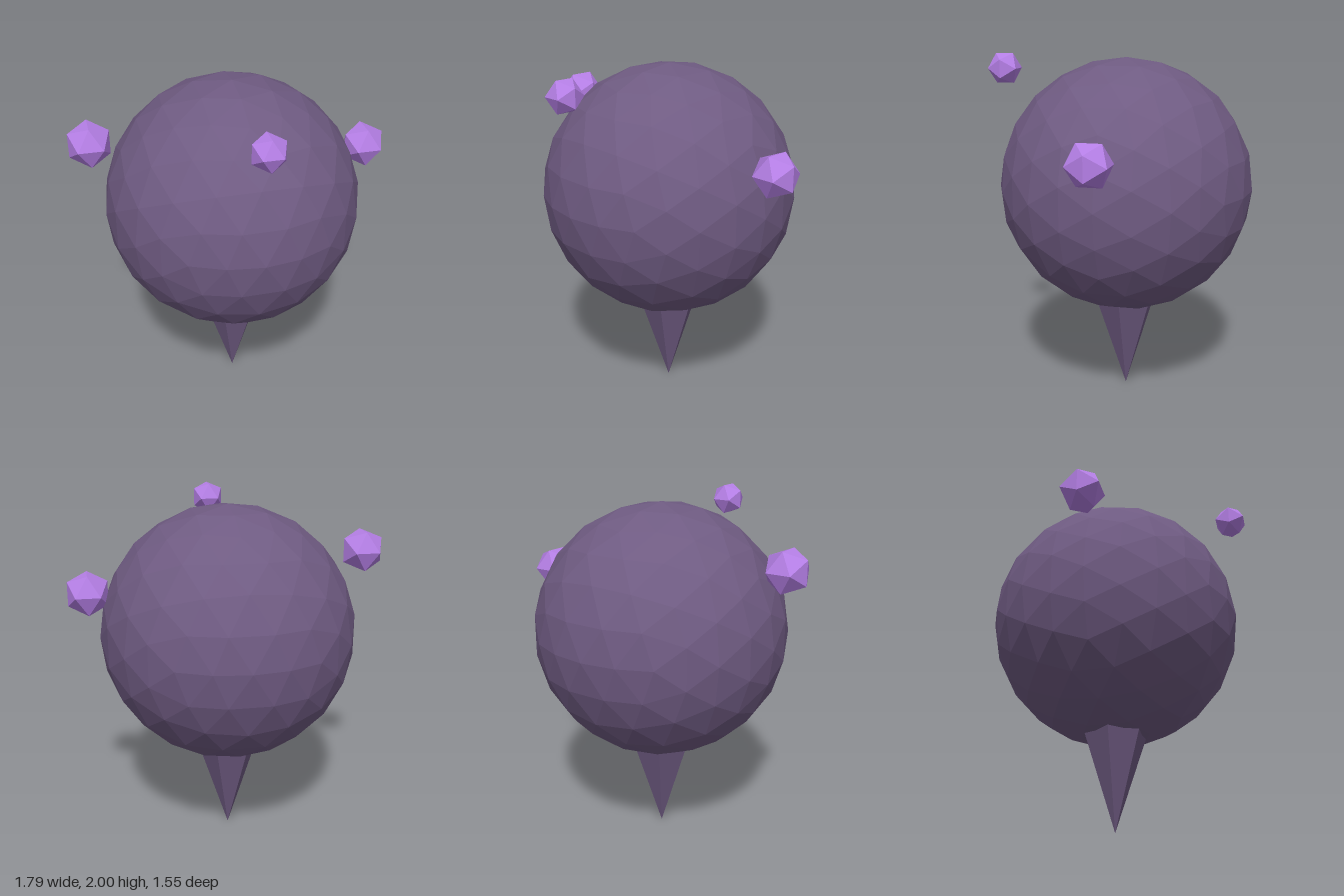
import * as THREE from 'three';

// Sphere made by splitting an icosahedron twice, rounding after each split
function facetedSphere(radius) {
  const base = new THREE.IcosahedronGeometry(1, 1);
  const points = Array.from(base.attributes.position.array);
  const corners = points.slice(0, points.length / 3).map((_, i) => i);
  return new THREE.PolyhedronGeometry(points, corners, radius, 1);
}

export function createModel() {
  const model = new THREE.Group();
  const centreZ = -0.04;
  const dark = new THREE.MeshStandardMaterial({ color: 0x6f5b82, flatShading: true });
  const violet = new THREE.MeshStandardMaterial({ color: 0xb57fe6, flatShading: true });

  const add = (name, geometry, material, x, y, z) => {
    const mesh = new THREE.Mesh(geometry, material);
    mesh.name = name;
    mesh.position.set(x, y, z);
    model.add(mesh);
    return mesh;
  };

  // Large round body
  add('body', facetedSphere(0.73).rotateY(Math.PI / 2), dark, 0, 1.26, centreZ);

  // Six-sided spike pointing down, its base sunk in the body
  const spikeHeight = 0.62;
  const spike = new THREE.ConeGeometry(0.202, spikeHeight, 6);
  spike.rotateX(Math.PI).rotateY(Math.PI / 6);
  add('spike', spike, dark, 0, spikeHeight / 2, centreZ);

  // Small floating crystals
  const crystals = [
    ['rightCrystal', 0.13, -0.785, 1.705, centreZ],
    ['leftCrystal', 0.13, 0.785, 1.52, centreZ],
    ['frontCrystal', 0.1, 0, 1.915, 0.69],
  ];
  for (const [name, radius, x, y, z] of crystals) {
    add(name, new THREE.IcosahedronGeometry(radius, 0).rotateY(Math.PI / 2), violet, x, y, z);
  }

  return model;
}
